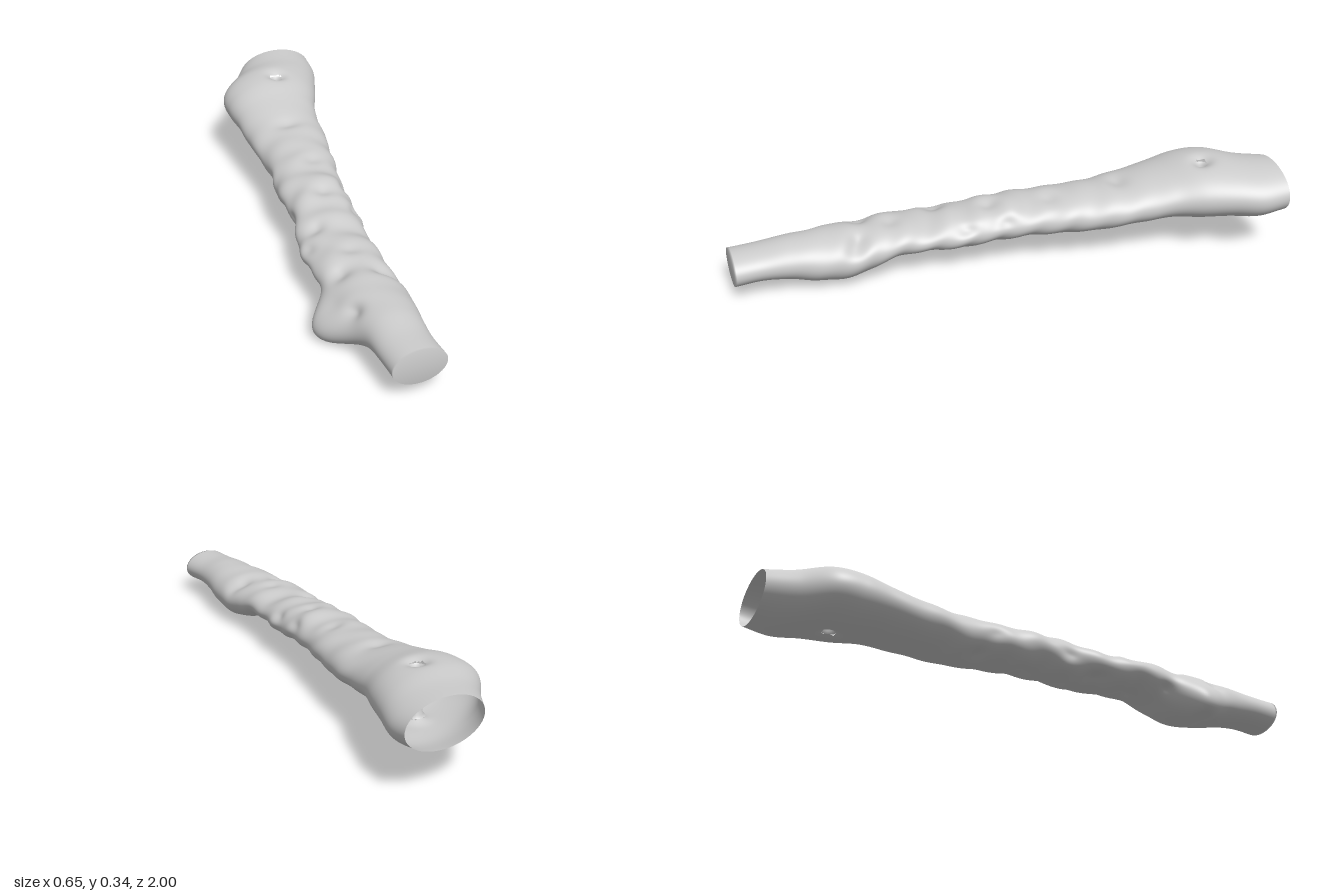
import * as THREE from 'three';

// Outline every 0.1 from z = -1 (back) to z = 1 (front): min x, max x, min y, max y
const SECTIONS = [
  [0.02, 0.32, 0.155, 0.33], [-0.05, 0.31, 0.13, 0.33], [-0.13, 0.275, 0.125, 0.338],
  [-0.145, 0.235, 0.12, 0.332], [-0.142, 0.19, 0.125, 0.305], [-0.145, 0.165, 0.115, 0.28],
  [-0.145, 0.15, 0.11, 0.265], [-0.145, 0.125, 0.097, 0.255], [-0.16, 0.1, 0.1, 0.25],
  [-0.18, 0.075, 0.095, 0.237], [-0.185, 0.055, 0.095, 0.24], [-0.195, 0.045, 0.085, 0.225],
  [-0.22, 0.03, 0.08, 0.21], [-0.25, 0.01, 0.075, 0.197], [-0.25, 0, 0.075, 0.2],
  [-0.255, 0, 0.04, 0.192], [-0.265, 0, 0.012, 0.192], [-0.255, -0.013, 0.018, 0.19],
  [-0.24, -0.035, 0.04, 0.185], [-0.24, -0.05, 0.05, 0.172], [-0.24, -0.05, 0.045, 0.168],
];

// Small dents: z, angle around the tube, depth
const DENTS = [
  [-0.43, 1.6, 0.014], [-0.16, 1.3, 0.014], [0.06, 1.5, 0.016], [0.02, 0.4, 0.014],
  [0.16, 0.45, 0.016], [0.24, 2.1, 0.016], [0.32, 2.6, 0.014], [0.42, 1.5, 0.012],
  [0.55, 1.0, 0.016], [0.52, 2.2, 0.016], [0.7, 2.6, 0.02], [0.57, 0.6, 0.012],
  [-0.25, 4.3, 0.014], [-0.05, 4.9, 0.014], [0.2, 4.2, 0.014], [0.36, 5.0, 0.016],
  [-0.2, 3.2, 0.01], [0.08, 3.3, 0.012], [0.48, 3.7, 0.02], [0.7, 4.6, 0.014],
];

const HOLE = { x: 0.08, z: -0.74, radius: 0.02 };
const gauss = (d, width) => Math.exp(-(d * d) / (width * width));
const angleGap = (a, b) => Math.atan2(Math.sin(a - b), Math.cos(a - b));

const sideCurve = new THREE.CatmullRomCurve3(
  SECTIONS.map((s) => new THREE.Vector3(s[0], s[1], 0)), false, 'catmullrom');
const heightCurve = new THREE.CatmullRomCurve3(
  SECTIONS.map((s) => new THREE.Vector3(s[2], s[3], 0)), false, 'catmullrom');

function wallPoint(t, a) {
  const z = -1 + 2 * t;
  const side = sideCurve.getPoint(t);
  const height = heightCurve.getPoint(t);
  const cx = (side.x + side.y) / 2, cy = (height.x + height.y) / 2;

  // Knob low on one side, steep behind and long in front
  let grow = 0.085 * gauss(angleGap(a, 3.63), 0.5) * gauss(z - 0.6, z < 0.6 ? 0.08 : 0.12);
  // Gentle ripples along the middle, fading out at both ends
  const middle = Math.max(0, 1 - Math.abs(z - 0.1) / 0.75);
  grow += 0.006 * middle * Math.sin(z * 42 + 2 * Math.sin(a)) * Math.sin(2 * a + z * 9);
  for (const [dz, da, depth] of DENTS) {
    grow -= depth * gauss(z - dz, 0.035) * gauss(angleGap(a, da), 0.35);
  }

  const x = cx + Math.cos(a) * ((side.y - side.x) / 2 + grow);
  let y = cy + Math.sin(a) * ((height.y - height.x) / 2 + grow);
  // Wall dips in around the hole
  y -= Math.sign(y - cy) * 0.025 * gauss(Math.hypot(x - HOLE.x, z - HOLE.z), 0.035);
  // Slightly slanted back rim
  const slant = 0.05 * (x - 0.02) * Math.max(0, 1 - t * 8);
  return [x, Math.max(0, y), z + slant];
}

function wallGeometry(rows, cols) {
  const position = [], index = [];
  for (let i = 0; i <= rows; i++) {
    for (let j = 0; j < cols; j++) {
      position.push(...wallPoint(i / rows, (j / cols) * Math.PI * 2));
    }
  }
  const open = (...ids) => ids.every((k) =>
    Math.hypot(position[k * 3] - HOLE.x, position[k * 3 + 2] - HOLE.z) > HOLE.radius);
  for (let i = 0; i < rows; i++) {
    for (let j = 0; j < cols; j++) {
      const a = i * cols + j, b = i * cols + ((j + 1) % cols);
      const c = a + cols, d = b + cols;
      if (open(a, b, c, d)) index.push(a, b, c, b, d, c);
    }
  }
  // Closed front end, the back stays open
  const centre = position.length / 3;
  position.push(-0.145, 0.106, 1);
  for (let j = 0; j < cols; j++) {
    index.push(centre, rows * cols + j, rows * cols + ((j + 1) % cols));
  }
  const geometry = new THREE.BufferGeometry();
  geometry.setAttribute('position', new THREE.Float32BufferAttribute(position, 3));
  geometry.setIndex(index);
  geometry.computeVertexNormals();
  return geometry;
}

export function createModel() {
  const group = new THREE.Group();
  group.name = 'hollowBranch';
  const material = new THREE.MeshStandardMaterial({ color: 0xcccccc, side: THREE.DoubleSide });

  const wall = new THREE.Mesh(wallGeometry(260, 128), material);
  wall.name = 'tubeWall';
  group.add(wall);

  // Narrow passage through the wall from top to bottom, flared at both mouths
  const profile = [[0.032, 0.144], [0.024, 0.152], [0.018, 0.18], [0.016, 0.225],
    [0.018, 0.27], [0.024, 0.3], [0.032, 0.311]].map(([r, y]) => new THREE.Vector2(r, y));
  const passage = new THREE.Mesh(new THREE.LatheGeometry(profile, 24), material);
  passage.position.set(HOLE.x, 0, HOLE.z);
  passage.name = 'throughHole';
  group.add(passage);

  return group;
}
